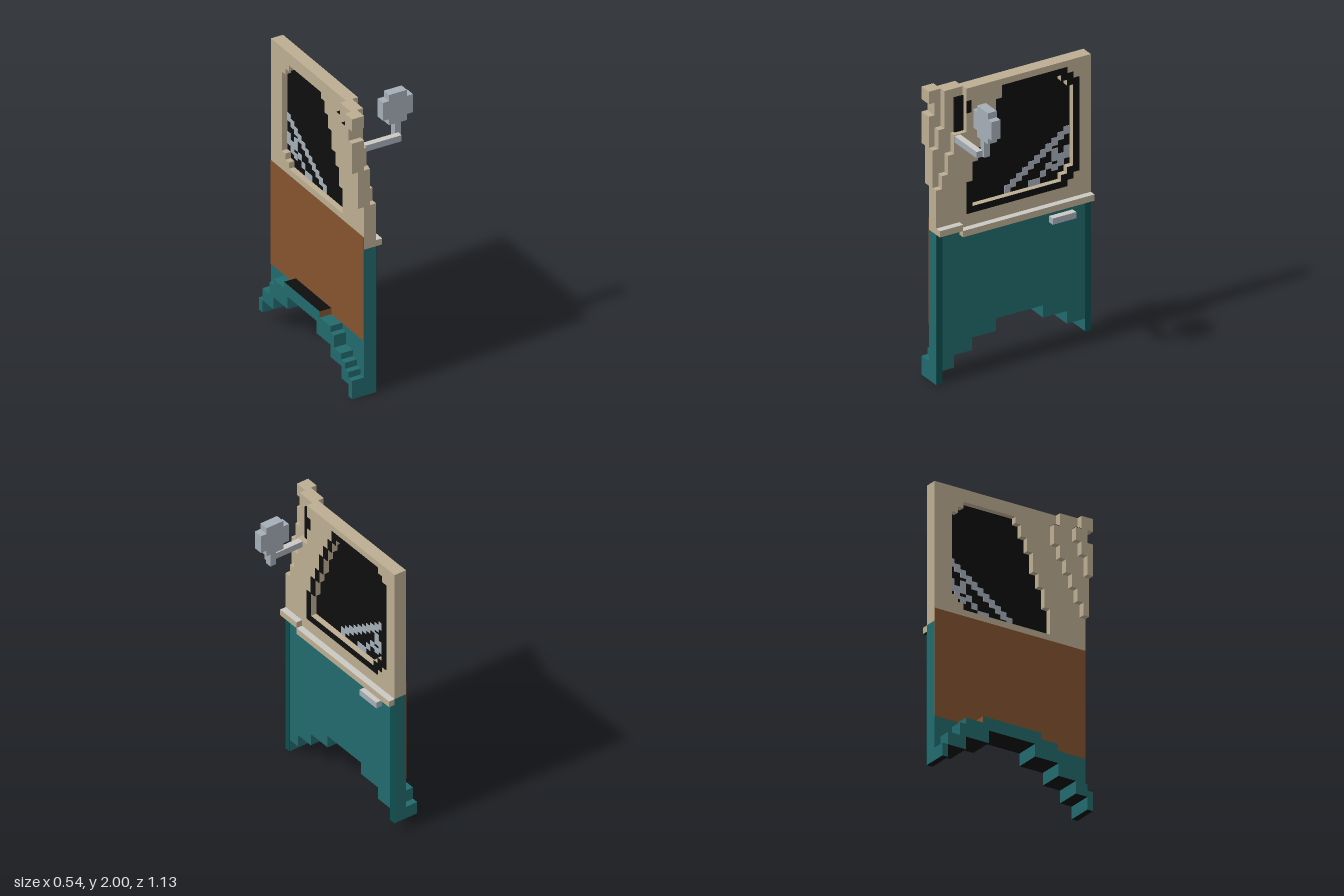
import * as THREE from 'three';

const V = 2 / 46; // one block
const mat = (name, hex) => {
  const m = new THREE.MeshStandardMaterial({ color: hex });
  m.name = name;
  return m;
};

export function createModel() {
  const root = new THREE.Group();
  root.name = 'vehicleDoor';
  const tan = mat('tan', 0xbcae92), teal = mat('teal', 0x226a6d), darkTeal = mat('darkTeal', 0x0c4e4e);
  const brown = mat('brown', 0x85532f), black = mat('black', 0x0e0e0e);
  const silver = mat('silver', 0xa5afb7), pale = mat('paleSilver', 0xc9c8c2);

  // Box from min/max extents, with optional top and underside colours
  function box(name, [x0, x1], [y0, y1], [z0, z1], m, top = m, under = m) {
    const g = new THREE.BoxGeometry(x1 - x0, y1 - y0, z1 - z0);
    const mesh = new THREE.Mesh(g, top === m && under === m ? m : [m, m, top, under, m, m]);
    mesh.position.set((x0 + x1) / 2, (y0 + y1) / 2, (z0 + z1) / 2);
    mesh.name = name;
    root.add(mesh);
    return mesh;
  }

  // Prism along x from a side outline of [z, y] points
  function prism(name, [x0, x1], pts, m, { hole, top = m, under = m } = {}) {
    const toVec = (p) => p.map(([z, y]) => new THREE.Vector2(z, y));
    const shape = new THREE.Shape(toVec(pts));
    if (hole) shape.holes.push(new THREE.Path(toVec(hole)));
    const g = new THREE.ExtrudeGeometry(shape, { depth: x1 - x0, bevelEnabled: false });
    g.rotateY(-Math.PI / 2).translate(x1, 0, 0);
    g.clearGroups();
    const n = g.attributes.normal;
    for (let i = 0; i < n.count; i += 3) {
      const ny = n.getY(i);
      g.addGroup(i, 3, ny > 0.9 ? 1 : ny < -0.9 ? 2 : 0);
    }
    const mesh = new THREE.Mesh(g, [m, top, under]);
    mesh.name = name;
    root.add(mesh);
    return mesh;
  }

  // Staircase: each [z, y] run holds z until height y
  function stairs(steps, yStart) {
    const out = [];
    let y = yStart;
    for (const [z, yEnd] of steps) {
      out.push([z, y], [z, yEnd]);
      y = yEnd;
    }
    return out;
  }

  const OUT = -0.1, MID = OUT - V, IN = OUT - 2 * V;
  const E = 0.565, SILL = 24 * V;

  // Wheel arch underside, front to back
  const archRuns = [[E, 0], [0.522, 2 * V], [0.435, 4 * V], [0.305, 6 * V], [0.13, 8 * V],
    [-0.217, 6 * V], [-0.39, 4 * V], [-0.522, 2 * V], [-E, 2 * V]];
  const arch = [];
  for (let i = 0; i < archRuns.length - 1; i++) {
    arch.push([archRuns[i][0], archRuns[i][1]], [archRuns[i + 1][0], archRuns[i][1]]);
  }

  // Lower door skin
  prism('lowerDoor', [IN, OUT], [...arch, [-E, SILL], [E, SILL]], teal, { under: black });
  box('frontEdgeStrip', [OUT, OUT + 0.003], [0, SILL], [0.522, E], darkTeal);
  box('rearEdgeStrip', [OUT, OUT + 0.003], [2 * V, 23 * V], [-E, -0.522], darkTeal);
  box('innerTrimPanel', [IN - 0.003, IN], [9 * V, 26 * V], [-E, E], brown);

  // Stepped wheel arch liner on the inner side
  const LIP = [IN - 2 * V, IN];
  const lipTop = [
    [-E, 4 * V], [-0.522, 4 * V], [-0.522, 6 * V], [-0.435, 6 * V], [-0.435, 8 * V], [-0.39, 8 * V],
    [-0.39, 9 * V], [0.3, 9 * V], [0.3, 8 * V], [0.345, 8 * V], [0.345, 6 * V],
    [0.43, 6 * V], [0.43, 5 * V], [0.478, 5 * V], [0.478, 4 * V], [0.522, 4 * V], [0.522, 3 * V], [E, 3 * V]];
  prism('wheelArchLiner', LIP, [...arch, ...lipTop], teal, { under: black });
  const cap = box('archCap', LIP, [9 * V, 10 * V], [-0.26, 0.172], brown);
  cap.material = [teal, teal, black, black, brown, brown];

  // Window opening and its outer gasket
  const rear = (z, yTop, yBot) => [
    [z + 2 * V, yTop], [z + 2 * V, yTop - V], [z + V, yTop - V], [z + V, yTop - 2 * V], [z, yTop - 2 * V],
    [z, yBot + 2 * V], [z + V, yBot + 2 * V], [z + V, yBot + V], [z + 2 * V, yBot + V], [z + 2 * V, yBot]];
  const slant = [1.35, 1.48, 1.57, 1.7, 1.79, 1.87];
  const opening = (z, zBack, yBot, yTop) => [
    ...stairs([...slant, yTop].map((y, i) => [z - i * V, y]), yBot), ...rear(zBack, yTop, yBot)];
  const hole = opening(0.302, -0.435, 27 * V, 44 * V);
  prism('windowGasket', [OUT, OUT + 0.004], opening(0.345, -0.478, 26 * V, 45 * V), black, { hole });

  // Window frame in two layers, front edge stepping back with height
  const frame = (steps) => [[-E, SILL], ...stairs(steps, SILL), [-E, 2]];
  prism('outerWindowFrame', [MID, OUT],
    frame([[E, 1.35], [0.522, 1.44], [0.478, 1.57], [0.435, 1.7], [0.345, 2]]), tan, { hole });
  prism('innerWindowFrame', [IN, MID],
    frame([[E, 1.61], [0.522, 1.74], [0.478, 2]]), tan, { hole });

  // Windscreen pillar steps
  const notch = [[E, 42 * V], [0.522, 42 * V], [0.522, 44 * V], [E, 44 * V], [E, 2]];
  prism('pillarMiddle', [IN - V, IN], [
    [0.522, 31 * V], [E, 31 * V], ...notch, [0.345, 2], [0.345, 44 * V], [0.302, 44 * V], [0.302, 41 * V],
    [0.345, 41 * V], [0.345, 39 * V], [0.39, 39 * V], [0.39, 37 * V], [0.435, 37 * V], [0.435, 35 * V],
    [0.478, 35 * V], [0.478, 33 * V], [0.522, 33 * V]], tan);
  box('pillarMiddleCap', [IN - V, IN], [44 * V, 44 * V + 0.002], [0.302, 0.345], black);
  prism('pillarInner', [IN - 2 * V, IN - V], [
    [0.522, 37 * V], [E, 37 * V], ...notch, [0.478, 2], [0.478, 44 * V], [0.435, 44 * V], [0.435, 42 * V],
    [0.478, 42 * V], [0.478, 40 * V], [0.522, 40 * V]], tan);
  box('pillarInnerCap', [IN - 2 * V, IN - V], [44 * V, 44 * V + 0.002], [0.435, 0.478], black);

  // Glass with reflection streaks showing on both faces
  box('windowGlass', [MID - 0.003, MID + 0.003], [1.16, 1.925], [-0.445, 0.31], black);
  const SHINE = [MID - 0.006, MID + 0.006];
  for (let i = 0; i < 11; i++) {
    const z = 0.044 - i * V, y = 1.175 + i * 0.0295;
    box('longReflection', SHINE, [y, y + 0.056], [z - V, z], silver);
  }
  const shortCells = [[-0.13, 27, 2], [-0.217, 28, 1], [-0.26, 29, 1], [-0.304, 30, 2], [-0.39, 31, 1],
    [-0.26, 27.7, 1], [-0.304, 28.5, 1], [-0.348, 29, 1], [-0.39, 30, 1], [-0.304, 31, 1]];
  for (const [z, row, n] of shortCells.slice(0, 5).concat(shortCells.slice(6))) {
    box('shortReflection', SHINE, [row * V, (row + 1) * V], [z - n * V, z], silver);
  }

  // Small quarter window
  box('quarterGlass', [MID, MID + 0.012], [1.655, 1.94], [0.345, 0.41], black);
  box('quarterGasket', [OUT, OUT + 0.004], [1.83, 1.913], [0.308, 0.345], black);

  // Sill ledge and handle
  const LEDGE = [OUT, OUT + V];
  box('sillLedge', LEDGE, [23 * V, 24 * V], [-E, 0.395], tan, pale, black);
  box('sillLedgeFront', LEDGE, [24 * V, 25 * V], [0.395, E], tan, pale, black);
  box('doorHandle', LEDGE, [21 * V, 22 * V], [-0.432, -0.26], silver, pale);

  // Wing mirror
  box('mirrorArm', [OUT, 0.163], [38 * V, 39 * V], [0.39, 0.433], silver, pale);
  box('mirrorPost', [0.139, 0.182], [38 * V, 41 * V], [0.346, 0.39], silver, pale);
  const head = new THREE.Shape();
  const hw = 0.108, hh = 0.108, c = V;
  [[hw, hh - c], [hw - c, hh - c], [hw - c, hh], [c - hw, hh], [c - hw, hh - c], [-hw, hh - c],
    [-hw, c - hh], [c - hw, c - hh], [c - hw, -hh], [hw - c, -hh], [hw - c, c - hh], [hw, c - hh]]
    .forEach(([x, y], i) => (i ? head.lineTo(x, y) : head.moveTo(x, y)));
  const headMesh = new THREE.Mesh(new THREE.ExtrudeGeometry(head, { depth: 0.065, bevelEnabled: false }), silver);
  headMesh.position.set(0.162, 1.872, 0.325);
  headMesh.name = 'mirrorHead';
  root.add(headMesh);

  return root;
}
